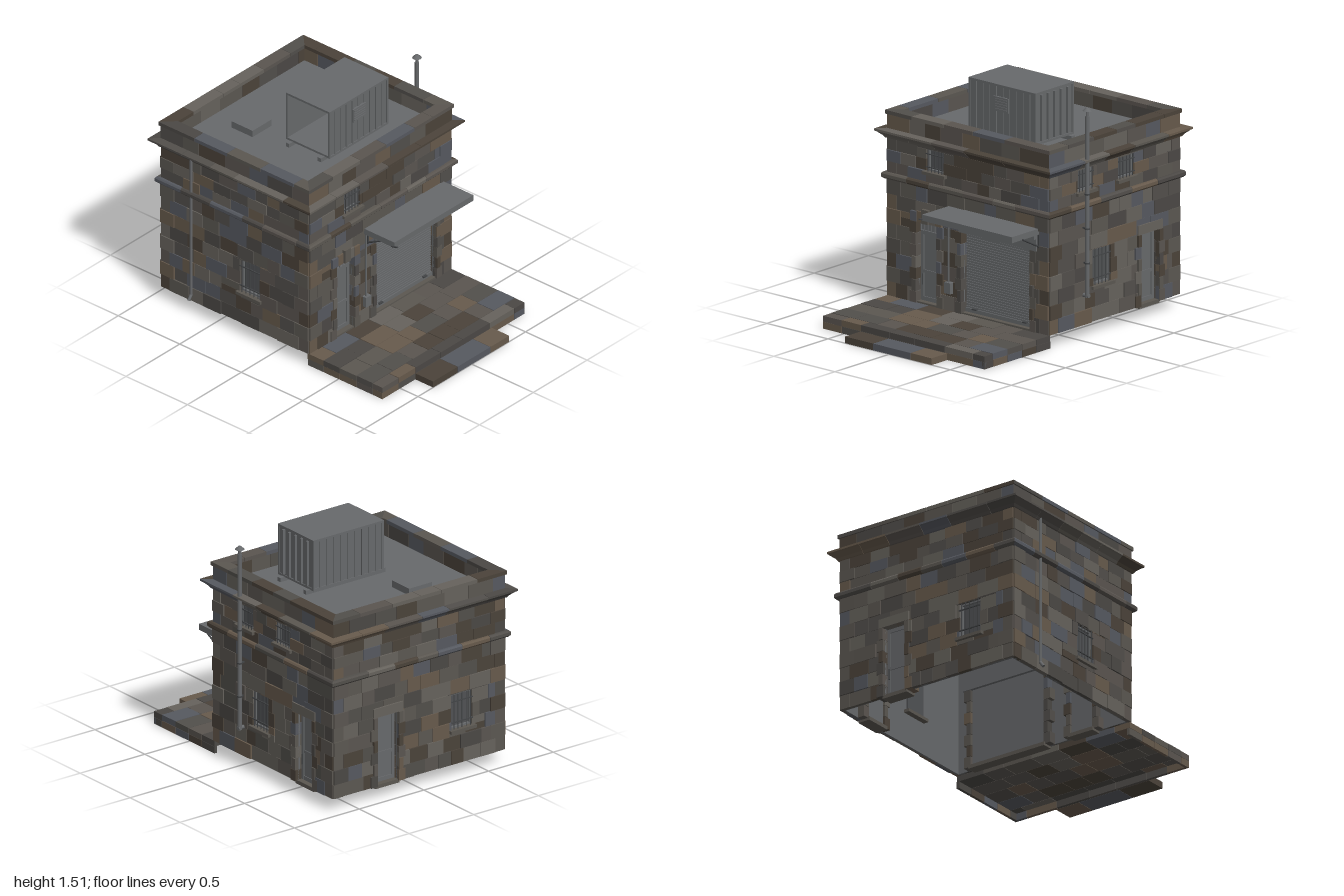
import * as THREE from 'three';
import { mergeGeometries } from 'three/addons/utils/BufferGeometryUtils.js';

const material = (color) => new THREE.MeshStandardMaterial({ color });
const GREY = material(0x67696b), DARK = material(0x424446), PANE = material(0x505254);
const STONES = [0x5b5751, 0x675a4c, 0x4b4845, 0x565960, 0x66625c, 0x4b433a, 0x5a5550, 0x524f4b].map(material);
const CX = -0.007, CZ = -0.34, HW = 0.66, HD = 0.6; // house centre and half sizes
const BASE = 0.085;

let seed = 7;
const rand = () => (seed = (seed * 16807) % 2147483647) / 2147483647;

function boxGeo(x0, x1, y0, y1, z0, z1) {
  return new THREE.BoxGeometry(x1 - x0, y1 - y0, z1 - z0)
    .translate((x0 + x1) / 2, (y0 + y1) / 2, (z0 + z1) / 2);
}
function add(parent, name, geo, mat = GREY) {
  const mesh = new THREE.Mesh(geo, mat);
  mesh.name = name;
  parent.add(mesh);
}
const box = (parent, name, mat, ...e) => add(parent, name, boxGeo(...e), mat);

// Round bar between two points
function rod(parent, name, mat, a, b, r, r2 = r) {
  const p = new THREE.Vector3(...a), q = new THREE.Vector3(...b), d = q.clone().sub(p);
  const geo = new THREE.CylinderGeometry(r2, r, d.length(), 10);
  geo.applyQuaternion(new THREE.Quaternion().setFromUnitVectors(new THREE.Vector3(0, 1, 0), d.normalize()));
  p.add(q).multiplyScalar(0.5);
  add(parent, name, geo.translate(p.x, p.y, p.z), mat);
}
// Share a list of stones out among the stone colours
function addStones(parent, name, geos) {
  const bins = STONES.map(() => []);
  geos.forEach((g) => bins[Math.floor(rand() * bins.length)].push(g));
  bins.forEach((b, i) => b.length && add(parent, name, mergeGeometries(b), STONES[i]));
}
// Split a length into uneven stones
function split(a, b, size, first = 0) {
  const cuts = [a];
  if (first) cuts.push(a + first);
  const end = first ? b - first : b;
  let x = cuts[cuts.length - 1];
  while (end - x > size * 1.5) cuts.push(x += size * (0.7 + 0.6 * rand()));
  if (first) cuts.push(end);
  cuts.push(b);
  return cuts;
}
// Remove openings from a stone's rectangle
function cut([x0, x1, y0, y1], holes) {
  if (x1 - x0 < 0.004 || y1 - y0 < 0.004) return [];
  const h = holes.find((o) => o.x0 < x1 - 1e-6 && o.x1 > x0 + 1e-6 && o.y0 < y1 - 1e-6 && o.y1 > y0 + 1e-6);
  if (!h) return [[x0, x1, y0, y1]];
  const a = Math.max(y0, h.y0), b = Math.min(y1, h.y1);
  return [[x0, x1, y0, a], [x0, x1, b, y1], [x0, h.x0, a, b], [h.x1, x1, a, b]].flatMap((r) => cut(r, holes));
}
// Mitred moulding along one wall, cut into blocks
function moulding(wall, name, half, profile, size) {
  const shape = new THREE.Shape(profile.map((p) => new THREE.Vector2(...p)));
  const cuts = split(-half, half, size), geos = [];
  for (let i = 0; i + 1 < cuts.length; i++) {
    const g = new THREE.ExtrudeGeometry(shape, { depth: 1, bevelEnabled: false });
    const p = g.attributes.position;
    for (let k = 0; k < p.count; k++) {
      const out = p.getX(k), last = p.getZ(k) < 0.5, u = cuts[last ? i + 1 : i];
      const end = Math.abs(u) > half - 1e-6;
      p.setXYZ(k, end ? Math.sign(u) * (half + out) : u - (last ? 0.002 : 0), p.getY(k), out);
    }
    g.computeVertexNormals();
    geos.push(g);
  }
  addStones(wall, name, geos);
}
const opening = (type, u, w, y0, y1) => ({ type, u, w, x0: u - w / 2, x1: u + w / 2, y0, y1 });

// Toothed stone jambs on both sides of an opening
function jambs(wall, o) {
  const n = Math.round((o.y1 - BASE) / 0.075), h = (o.y1 - BASE) / n, geos = [];
  for (let i = 0; i < n; i++) for (const s of [-1, 1]) {
    const e = o.u + s * o.w / 2, f = e + s * (i % 2 ? 0.03 : 0.05);
    geos.push(boxGeo(Math.min(e, f), Math.max(e, f), BASE + i * h, BASE + (i + 1) * h - 0.003, -0.07, 0.014 + 0.004 * (i % 2)));
  }
  addStones(wall, 'jambStones', geos);
  box(wall, 'threshold', STONES[0], o.x0 - 0.01, o.x1 + 0.01, 0.07, 0.094, -0.08, 0.004);
}
const builders = {
  window(wall, o) {
    box(wall, 'windowPane', PANE, o.x0, o.x1, o.y0, o.y1, -0.036, -0.028);
    for (const x of [o.x0, o.x1 - 0.01]) box(wall, 'windowFrame', GREY, x, x + 0.01, o.y0, o.y1, -0.03, -0.012);
    for (const y of [o.y0, o.y1 - 0.01]) box(wall, 'windowFrame', GREY, o.x0, o.x1, y, y + 0.01, -0.03, -0.012);
    for (let i = 0; i < 5; i++) {
      const x = o.x0 + o.w * (i + 0.5) / 5;
      rod(wall, 'windowBar', DARK, [x, o.y0, 0.006], [x, o.y1, 0.006], 0.003);
    }
    for (const f of [0.2, 0.8]) {
      const y = o.y0 + (o.y1 - o.y0) * f;
      box(wall, 'windowCrossBar', DARK, o.x0, o.x1, y - 0.003, y + 0.003, 0.003, 0.011);
    }
    box(wall, 'windowSill', STONES[0], o.x0 - 0.02, o.x1 + 0.02, o.y0 - 0.02, o.y0, -0.06, 0.028);
  },
  door(wall, o) {
    jambs(wall, o);
    const top = o.arch ? o.y1 - 0.065 : o.y1;
    box(wall, 'doorLeaf', GREY, o.x0, o.x1, BASE, top, -0.055, -0.04);
    for (const x of [o.x0, o.x1 - 0.022]) box(wall, 'doorStile', GREY, x, x + 0.022, BASE, top, -0.04, -0.033);
    for (const [y, h] of [[BASE, 0.035], [0.27, 0.02], [top - 0.025, 0.025]]) box(wall, 'doorRail', GREY, o.x0, o.x1, y, y + h, -0.04, -0.034);
    rod(wall, 'doorHandle', DARK, [o.u - o.w * 0.36, 0.2, -0.02], [o.u - o.w * 0.36, 0.27, -0.02], 0.004);
    if (!o.arch) {
      box(wall, 'doorLintel', STONES[4], o.x0 - 0.03, o.x1 + 0.03, o.y1, o.y1 + 0.06, -0.07, 0.016);
      return;
    }
    box(wall, 'transomPane', GREY, o.x0, o.x1, top, o.y1, -0.055, -0.045);
    for (let i = 0; i <= 6; i++) rod(wall, 'transomBar', GREY, [o.x0 + o.w * i / 6, top, -0.035], [o.x0 + o.w * i / 6, o.y1, -0.035], 0.004);
    // Flat arch with a keystone
    addStones(wall, 'archStones', [-2, -1, 1, 2].map((i) => boxGeo(o.u + i * 0.051 - 0.024, o.u + i * 0.051 + 0.024, o.y1, o.y1 + 0.075 - 0.006 * Math.abs(i), -0.07, 0.02)));
    box(wall, 'keystone', STONES[0], o.u - 0.026, o.u + 0.026, o.y1, o.y1 + 0.09, -0.07, 0.032);
  },
  shutter(wall, o) {
    jambs(wall, o);
    box(wall, 'shutterBack', GREY, o.x0, o.x1, BASE, o.y1, -0.05, -0.04);
    const n = 30, h = (o.y1 - 0.12) / n;
    for (let i = 0; i < n; i++) box(wall, 'shutterSlat', GREY, o.x0, o.x1, 0.12 + i * h, 0.12 + (i + 0.65) * h, -0.04, -0.034);
    box(wall, 'shutterBottomRail', GREY, o.x0, o.x1, 0.095, 0.12, -0.045, -0.026);
    for (const x of [0.08, 0.49]) box(wall, 'shutterHandle', DARK, o.x0 + x - 0.018, o.x0 + x + 0.018, 0.116, 0.124, -0.03, -0.014);
    box(wall, 'shutterHeader', GREY, o.x0 - 0.015, o.x1 + 0.06, o.y1, 0.69, -0.07, 0.02);
    box(wall, 'shutterHousing', GREY, o.x0 - 0.045, o.x1 + 0.06, 0.685, 0.716, -0.02, 0.04);
    // Flat awning with diagonal brackets
    box(wall, 'awning', GREY, -0.155, 0.58, 0.713, 0.752, 0, 0.253);
    for (const x of [-0.122, 0.582]) {
      rod(wall, 'awningBracket', DARK, [x, 0.635, 0], [x, 0.717, 0.16], 0.006);
      box(wall, 'bracketPlate', DARK, x - 0.006, x + 0.006, 0.63, 0.715, 0, 0.014);
    }
    rod(wall, 'awningTip', DARK, [-0.155, 0.716, 0.23], [-0.155, 0.728, 0.28], 0.005);
    // Meter box and conduit
    box(wall, 'meterBox', GREY, -0.168, -0.118, 0.2, 0.27, 0, 0.035);
    rod(wall, 'conduit', GREY, [-0.148, 0.27, 0.016], [-0.148, 0.715, 0.016], 0.006);
  },
};

function buildWall(name, half, x, z, turn, openings) {
  const wall = new THREE.Group();
  wall.name = name;
  wall.position.set(x, 0, z);
  wall.rotation.y = turn;
  // Thin inner wall, open where doors and windows sit
  const rect = (C, a, b, c, d) => new C([[a, c], [b, c], [b, d], [a, d]].map((p) => new THREE.Vector2(...p)));
  const shape = rect(THREE.Shape, 0.02 - half, half - 0.02, BASE, 1.14);
  shape.holes = openings.map((o) => rect(THREE.Path, o.x0, o.x1, Math.max(o.y0, 0.09), o.y1));
  add(wall, 'innerWall', new THREE.ExtrudeGeometry(shape, { depth: 0.015, bevelEnabled: false }).translate(0, 0, -0.023));
  // Stone courses with narrow joints
  const geos = [];
  const courses = (y0, y1, n) => {
    for (let i = 0; i < n; i++) {
      const a = y0 + (y1 - y0) * i / n, b = y0 + (y1 - y0) * (i + 1) / n;
      const cuts = split(-half, half, 0.13, i % 2 ? 0.11 : 0.075);
      for (let k = 0; k + 1 < cuts.length; k++) {
        const corner = k === 0 || k === cuts.length - 2;
        const out = corner ? 0.006 + 0.005 * (i % 2) : 0.001 + 0.011 * rand();
        for (const [l, r, lo, hi] of cut([cuts[k], cuts[k + 1], a, b], openings)) geos.push(boxGeo(l, r - 0.0015, lo, hi - 0.0015, -0.018, out));
      }
    }
  };
  courses(BASE, 0.83, 8);
  courses(0.87, 1.09, 3);
  addStones(wall, 'wallStones', geos);
  openings.forEach((o) => builders[o.type](wall, o));
  // Mouldings and parapet
  moulding(wall, 'stringCourse', half, [[-0.018, 0.83], [0.018, 0.83], [0.03, 0.842], [0.03, 0.862], [0.022, 0.872], [-0.018, 0.872]], 0.22);
  moulding(wall, 'cornice', half, [[-0.018, 1.085], [0.012, 1.09], [0.022, 1.105], [0.05, 1.13], [0.06, 1.135], [0.06, 1.148], [-0.018, 1.152]], 0.24);
  moulding(wall, 'parapet', half, [[-0.07, 1.13], [0.004, 1.13], [0.004, 1.242], [-0.07, 1.242]], 0.17);
  moulding(wall, 'coping', half, [[-0.072, 1.242], [0.013, 1.242], [0.013, 1.266], [-0.072, 1.266]], 0.22);
  return wall;
}

export function createModel() {
  const model = new THREE.Group();
  model.name = 'stoneHouse';
  const frontDoor = opening('door', -0.333, 0.17, BASE, 0.605);
  frontDoor.arch = true;
  model.add(
    buildWall('frontWall', HW, CX, CZ + HD, 0, [frontDoor, opening('shutter', 0.232, 0.56, BASE, 0.607), opening('window', -0.268, 0.145, 0.94, 1.08)]),
    buildWall('rightWall', HD, CX + HW, CZ, Math.PI / 2, [opening('door', 0.32, 0.165, BASE, 0.545), opening('window', -0.12, 0.16, 0.315, 0.545),
      opening('window', -0.27, 0.145, 0.94, 1.08), opening('window', 0.105, 0.145, 0.94, 1.08)]),
    buildWall('backWall', HW, CX, CZ - HD, Math.PI, [opening('door', -0.245, 0.165, BASE, 0.545), opening('window', 0.33, 0.16, 0.315, 0.545)]),
    buildWall('leftWall', HD, CX - HW, CZ, -Math.PI / 2, [opening('window', 0.125, 0.16, 0.315, 0.545)]),
  );
  box(model, 'roof', GREY, CX - HW + 0.03, CX + HW - 0.03, 1.135, 1.155, CZ - HD + 0.03, CZ + HD - 0.03);
  box(model, 'roofHatch', GREY, -0.3, -0.125, 1.15, 1.2, -0.69, -0.52);

  // Roof unit: ribbed panels, open at the left end
  const unit = new THREE.Group();
  unit.name = 'roofUnit';
  model.add(unit);
  const [x0, x1, y0, y1, z0, z1] = [-0.211, 0.335, 1.18, 1.514, -0.327, 0.029];
  box(unit, 'unitTop', GREY, x0, x1, y1 - 0.014, y1, z0, z1);
  box(unit, 'unitBase', GREY, x0, x1, y0, y0 + 0.014, z0, z1);
  box(unit, 'unitFront', GREY, x0, x1, y0, y1, z1 - 0.012, z1 - 0.006);
  box(unit, 'unitBack', GREY, x0, x1, y0, y1, z0 + 0.006, z0 + 0.012);
  box(unit, 'unitEnd', GREY, x1 - 0.012, x1 - 0.006, y0, y1, z0, z1);
  for (const z of [z0, z1 - 0.014]) for (const x of [x0, x1 - 0.014]) box(unit, 'unitPost', GREY, x, x + 0.014, y0, y1, z, z + 0.014);
  for (let i = 1; i < 10; i++) {
    const x = x0 + (x1 - x0) * i / 10;
    for (const z of [z0, z1 - 0.008]) box(unit, 'unitRib', GREY, x - 0.008, x + 0.008, y0, y1, z, z + 0.008);
  }
  for (let i = 1; i < 6; i++) {
    const z = z0 + (z1 - z0) * i / 6;
    box(unit, 'unitEndRib', GREY, x1 - 0.01, x1 + 0.01, y0 + 0.02, y1 - 0.02, z - 0.007, z + 0.007);
  }
  box(unit, 'vent', GREY, 0, 0.12, 1.345, 1.437, z1 - 0.008, z1 + 0.008);
  for (let i = 0; i < 5; i++) box(unit, 'ventSlat', GREY, 0.01, 0.11, 1.356 + i * 0.016, 1.362 + i * 0.016, z1 + 0.007, z1 + 0.012);
  for (const z of [-0.284, -0.025]) box(unit, 'unitSkid', GREY, -0.245, 0.368, 1.15, 1.182, z - 0.014, z + 0.014);

  // Flue on the right wall
  rod(model, 'flue', GREY, [0.691, 0.265, -0.05], [0.691, 1.425, -0.05], 0.014);
  rod(model, 'flueElbow', GREY, [0.64, 0.277, -0.05], [0.705, 0.277, -0.05], 0.013);
  rod(model, 'flueNeck', GREY, [0.691, 1.42, -0.05], [0.691, 1.462, -0.05], 0.01);
  rod(model, 'flueCap', GREY, [0.691, 1.458, -0.05], [0.691, 1.478, -0.05], 0.03, 0.01);
  for (const y of [0.48, 0.7, 0.92]) {
    rod(model, 'flueClamp', DARK, [0.691, y, -0.05], [0.691, y + 0.01, -0.05], 0.017);
    box(model, 'flueBracket', DARK, 0.65, 0.69, y, y + 0.01, -0.055, -0.045);
  }

  // Drainpipe on the left wall
  rod(model, 'drainpipe', GREY, [-0.682, 0.13, -0.685], [-0.682, 1.12, -0.685], 0.009);
  rod(model, 'drainpipeFoot', GREY, [-0.68, 0.135, -0.685], [-0.706, 0.1, -0.685], 0.01);

  // Terrace: paving slabs over a ring of footing stones, and a front step
  const rows = [0.25, 0.38, 0.51, 0.645, 0.78, 0.86], paving = [], footing = [];
  for (let r = 0; r < 5; r++) {
    const cuts = split(-0.668, 0.656, r === 4 ? 0.2 : 0.17);
    for (let k = 0; k + 1 < cuts.length; k++) {
      paving.push(boxGeo(cuts[k], cuts[k + 1] - 0.003, 0.045, BASE - 0.003 * rand(), rows[r], rows[r + 1] - 0.003));
      if (r === 4) footing.push(boxGeo(cuts[k], cuts[k + 1] - 0.002, 0, 0.044, 0.835, 0.856));
    }
    for (const x of [-0.667, 0.634]) footing.push(boxGeo(x, x + 0.02, 0, 0.044, rows[r], rows[r + 1] - 0.004));
  }
  addStones(model, 'terracePaving', paving);
  addStones(model, 'terraceFooting', footing);
  addStones(model, 'frontStep', [[-0.36, -0.13], [-0.13, 0.175], [0.175, 0.35]].map(([a, b]) => boxGeo(a, b - 0.002, 0, 0.043, 0.858, 1)));
  return model;
}
